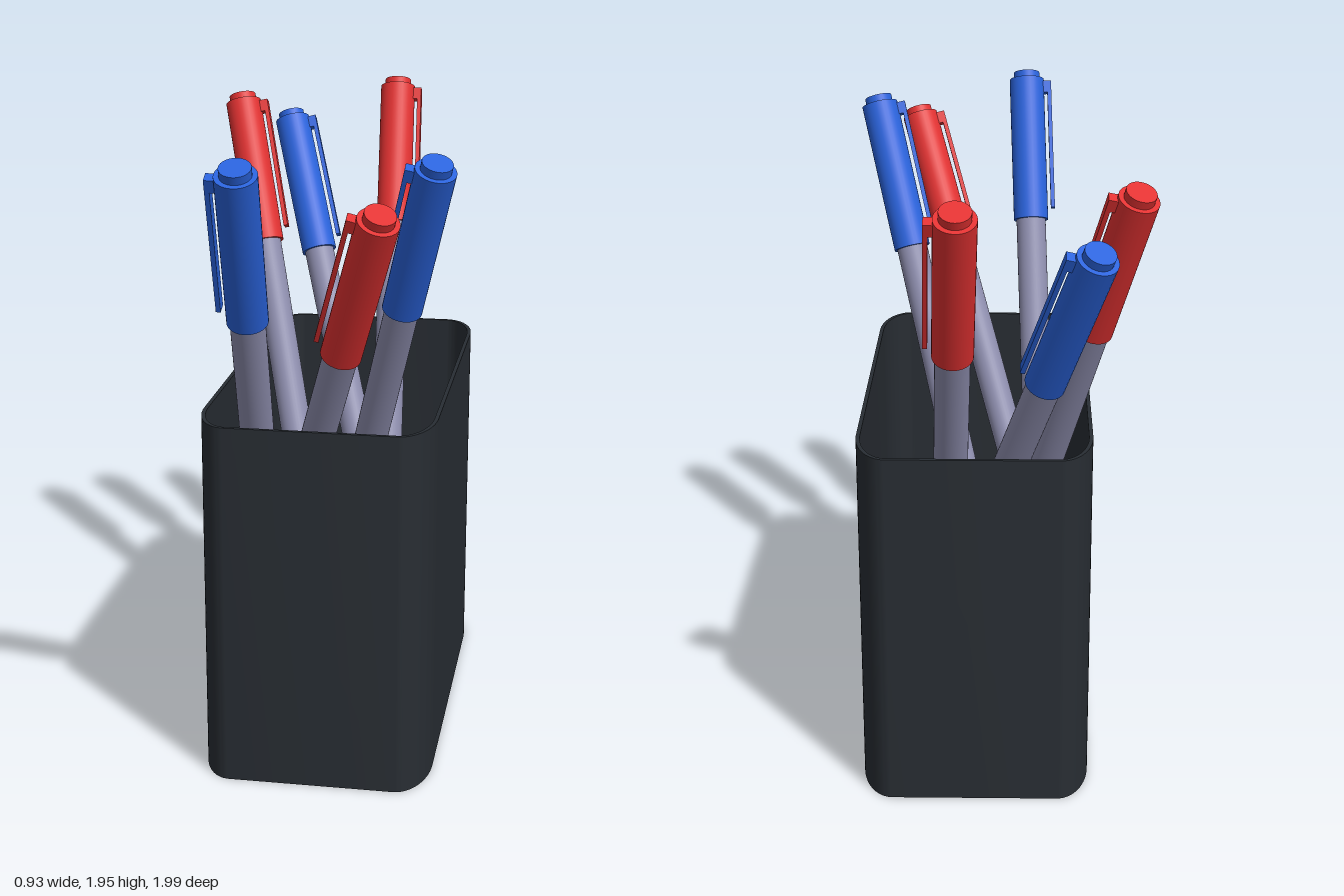
import * as THREE from 'three';
import { toCreasedNormals } from 'three/addons/utils/BufferGeometryUtils.js';

const mat = (color) => new THREE.MeshStandardMaterial({ color });

// Rounded rectangle with separate corner radii along x and z
function outline(hx, hz, rx, rz) {
  const s = new THREE.Shape();
  const q = Math.PI / 2;
  const corners = [[1, 1], [-1, 1], [-1, -1], [1, -1]];
  corners.forEach(([sx, sz], i) => {
    s.absellipse(sx * (hx - rx), sz * (hz - rz), rx, rz, i * q, (i + 1) * q, false, 0);
  });
  s.closePath();
  return s;
}

// Upright extrusion of a plan shape from y = 0
function upright(shape, height) {
  const g = new THREE.ExtrudeGeometry(shape, { depth: height, bevelEnabled: false, curveSegments: 12 });
  g.rotateX(-Math.PI / 2);
  return toCreasedNormals(g, 0.6);
}

function add(parent, name, geometry, material, x = 0, y = 0, z = 0) {
  const m = new THREE.Mesh(geometry, material);
  m.name = name;
  m.position.set(x, y, z);
  parent.add(m);
  return m;
}

// Pen from its lower end to the top of its knob; the clip faces +x or -x
function makePen(bottom, top, capMaterial, barrelMaterial, clipSide) {
  const pen = new THREE.Group();
  const axis = top.clone().sub(bottom);
  const length = axis.length();
  axis.normalize();
  const clipDir = new THREE.Vector3(clipSide, 0, 0);
  clipDir.addScaledVector(axis, -clipDir.dot(axis)).normalize();
  const third = new THREE.Vector3().crossVectors(clipDir, axis);
  pen.quaternion.setFromRotationMatrix(new THREE.Matrix4().makeBasis(clipDir, axis, third));
  pen.position.copy(bottom);

  const knob = 0.025, cap = 0.5, capTop = length - knob, barrel = capTop - cap;
  add(pen, 'barrel', new THREE.CylinderGeometry(0.051, 0.051, barrel, 32), barrelMaterial, 0, barrel / 2);
  add(pen, 'cap', new THREE.CylinderGeometry(0.06, 0.06, cap, 32), capMaterial, 0, barrel + cap / 2);
  add(pen, 'capKnob', new THREE.CylinderGeometry(0.045, 0.045, knob, 32), capMaterial, 0, capTop + knob / 2);
  // Clip bar held off the cap by a bridge at its upper end
  add(pen, 'clip', new THREE.BoxGeometry(0.014, 0.45, 0.034), capMaterial, 0.078, capTop - 0.235);
  add(pen, 'clipBridge', new THREE.BoxGeometry(0.03, 0.04, 0.034), capMaterial, 0.06, capTop - 0.03);
  return pen;
}

export function createModel() {
  const model = new THREE.Group();
  model.name = 'penHolder';
  const dark = mat(0x282d33), red = mat(0xe33232), blue = mat(0x2a63dc), grey = mat(0x8e8eae);

  // Cup: thin wall ring and a floor
  const cup = new THREE.Group();
  cup.name = 'cup';
  cup.position.x = 0.057;
  const wall = outline(0.353, 0.688, 0.1, 0.195);
  wall.holes.push(outline(0.341, 0.676, 0.09, 0.185));
  add(cup, 'cupWall', upright(wall, 1.13), dark);
  add(cup, 'cupFloor', upright(outline(0.347, 0.682, 0.095, 0.19), 0.04), dark);
  model.add(cup);

  // Three leaning pens, each with a partner turned half a circle about the y axis
  const layout = [
    { bottom: [-0.05, 0.11, -0.15], top: [0.41, 1.91, 0.64], front: blue, back: red },
    { bottom: [-0.245, 0.11, 0.05], top: [0.29, 1.815, 0.91], front: red, back: blue },
    { bottom: [-0.165, 0.11, 0.08], top: [-0.092, 1.935, 0.95], front: blue, back: red },
  ];
  layout.forEach(({ bottom, top, front, back }, i) => {
    for (const s of [1, -1]) {
      const end = ([x, y, z]) => new THREE.Vector3(s * x, y, s * z);
      const pen = makePen(end(bottom), end(top), s > 0 ? front : back, grey, -s);
      pen.name = (s > 0 ? 'frontPen' : 'backPen') + (i + 1);
      model.add(pen);
    }
  });
  return model;
}
